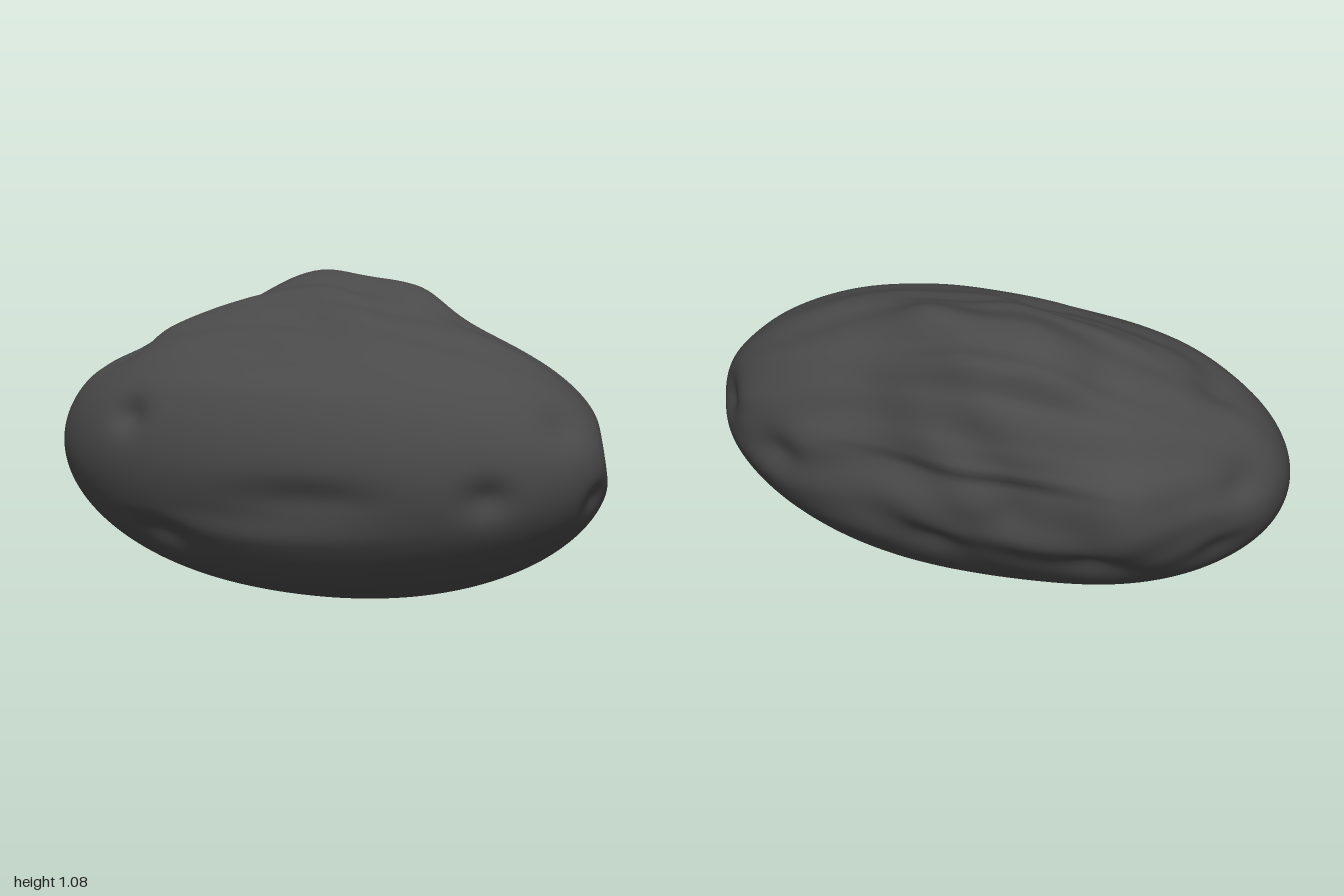
import * as THREE from 'three';
import { mergeVertices } from 'three/addons/utils/BufferGeometryUtils.js';

// Middle cross-section: [degrees from the front (+z) over the top, radius]
const SECTION = [
  [0, 0.5], [30, 0.5], [45, 0.475], [72, 0.47], [85, 0.505], [95, 0.56],
  [109, 0.625], [118, 0.625], [125, 0.67], [135, 0.59], [151, 0.55],
  [160, 0.53], [167, 0.485], [180, 0.5], [190, 0.495], [215, 0.46],
  [245, 0.483], [285, 0.493], [312, 0.516], [329, 0.511], [340, 0.49], [360, 0.5],
];

// Swellings (+) and dents (-): [x, y, z, width in x, width in y/z, height]
const LUMPS = [
  // front dents and the terrace above them
  [0.12, 0.4, 0.49, 0.26, 0.07, -0.025], [0.72, 0.42, 0.34, 0.09, 0.07, -0.035],
  [-0.62, 0.64, 0.37, 0.08, 0.06, -0.035], [-0.5, 0.23, 0.35, 0.13, 0.06, -0.03],
  [0.1, 0.87, 0.24, 0.35, 0.05, -0.015],
  // dents on the left end
  [0.88, 0.65, 0.12, 0.1, 0.07, -0.025], [0.95, 0.54, -0.13, 0.15, 0.08, -0.04],
  [0.97, 0.4, 0.02, 0.15, 0.05, -0.025],
  // dents on the right end
  [-0.75, 0.83, 0.05, 0.1, 0.12, -0.04], [-0.9, 0.6, -0.18, 0.1, 0.08, -0.03],
  [-0.82, 0.35, -0.22, 0.12, 0.08, -0.025],
  // back: swollen right shoulder, hollow left shoulder, craters
  [-0.56, 0.55, -0.42, 0.17, 0.2, 0.08], [0.36, 0.62, -0.45, 0.24, 0.22, -0.055],
  [0.72, 0.5, -0.34, 0.11, 0.09, -0.035], [0.05, 0.55, -0.5, 0.14, 0.08, 0.025],
  [-0.17, 0.5, -0.5, 0.08, 0.1, -0.03], [0.12, 0.3, -0.45, 0.12, 0.08, -0.03],
  [-0.45, 0.28, -0.4, 0.12, 0.08, -0.035],
  // top: ridge and hollows around the crest
  [-0.42, 0.9, -0.2, 0.09, 0.1, -0.03], [0.25, 0.97, -0.12, 0.12, 0.08, 0.03],
  [0.38, 0.84, -0.33, 0.16, 0.1, -0.03],
];

function sectionRadius(degrees) {
  const i = Math.max(1, SECTION.findIndex(([a]) => a >= degrees));
  const [a0, r0] = SECTION[i - 1];
  const [a1, r1] = SECTION[i];
  return r0 + (r1 - r0) * THREE.MathUtils.smoothstep(degrees, a0, a1);
}

const bell = (t) => Math.exp(-t * t);

export function createModel() {
  // Sphere with its poles on the long axis
  const sphere = new THREE.SphereGeometry(1, 180, 120).rotateZ(Math.PI / 2);
  sphere.deleteAttribute('uv');
  sphere.deleteAttribute('normal');
  const geometry = mergeVertices(sphere, 1e-4);
  const pos = geometry.attributes.position;
  const p = new THREE.Vector3();
  const normal = new THREE.Vector3();

  for (let i = 0; i < pos.count; i++) {
    p.fromBufferAttribute(pos, i);
    const { x, y, z } = p;
    const degrees = (THREE.MathUtils.radToDeg(Math.atan2(y, z)) + 360) % 360;

    // The lumpy middle section fades into a plain ellipsoid at both ends
    const blend = bell((x + 0.12) / (x > -0.12 ? 0.42 : 0.36));
    const r = 1 + blend * (sectionRadius(degrees) / 0.5 - 1);

    // Winding folds over the top and back
    const upper = THREE.MathUtils.smoothstep(0.7 * y - 0.7 * z, -0.1, 0.7) * (1 - x * x);
    let lift = upper * 0.013 * Math.sin(degrees * 0.2 + 4 * x + 1.8 * Math.sin(5 * x))
      * Math.cos(6 * x - degrees * 0.04);

    for (const [lx, ly, lz, wx, wr, h] of LUMPS) {
      const dx = (x - lx) / wx;
      const dy = (0.5 + y * 0.5 - ly) / wr;
      const dz = (z * 0.5 - lz) / wr;
      lift += h * Math.exp(-dx * dx - dy * dy - dz * dz);
    }

    // Folds and lumps push along the ellipsoid's normal
    normal.set(x, 2 * y, 2 * z).normalize();
    p.set(x, 0.5 * y * r, 0.5 * z * r).addScaledVector(normal, lift);
    pos.setXYZ(i, p.x, p.y, p.z);
  }

  // Rest on the ground, centred
  geometry.computeBoundingBox();
  const { min, max } = geometry.boundingBox;
  geometry.translate(-(min.x + max.x) / 2, -min.y, -(min.z + max.z) / 2);
  geometry.computeVertexNormals();

  const rock = new THREE.Mesh(geometry, new THREE.MeshStandardMaterial({ color: 0x4a4a4a }));
  rock.name = 'rock';
  const group = new THREE.Group();
  group.name = 'boulder';
  group.add(rock);
  return group;
}
